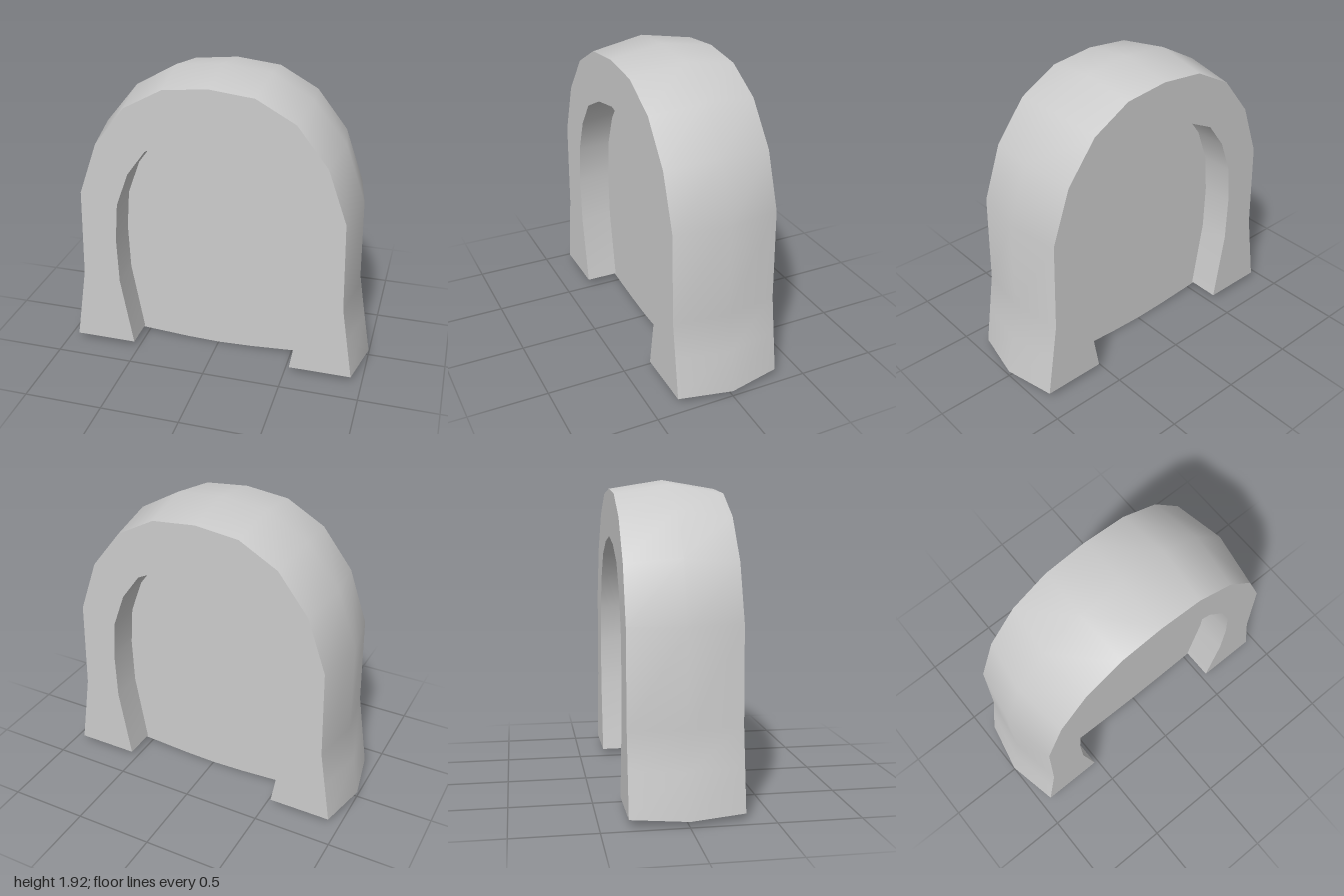
import * as THREE from 'three';

const HALF_DEPTH = 0.335;
const PANEL_HALF = 0.125;

// Half profiles from the foot (+x) up to the crown
const ridge = [[1, 0.035], [0.955, 0.3], [0.91, 0.53], [0.9, 1.11], [0.77, 1.48], [0.56, 1.74], [0.3, 1.89], [0, 1.92]];
const rim = [[0.93, 0.04], [0.89, 0.3], [0.855, 0.53], [0.84, 1.11], [0.72, 1.45], [0.525, 1.7], [0.28, 1.835], [0, 1.865]];
const opening = [[0.53, 0.04], [0.61, 0.5], [0.62, 0.8], [0.6, 1.05], [0.52, 1.27], [0.4, 1.435], [0.21, 1.53], [0, 1.57]];
const panelTop = [[0.65, 0.035], [0.7, 0.5], [0.71, 0.8], [0.69, 1.08], [0.6, 1.34], [0.45, 1.52], [0.24, 1.63], [0, 1.67]];
const panelBase = [[-0.42, 0.02], [-0.22, 0.007], [0, 0], [0.22, 0.007], [0.42, 0.02]];

// Complete an arch by mirroring its half profile
const mirror = (half) => [...half, ...half.slice(0, -1).reverse().map(([x, y]) => [-x, y])];
const row = (half, z) => mirror(half).map(([x, y]) => [x, y, z]);

// Smooth surface stretched between consecutive rows of points
function loft(name, rows, material) {
  const n = rows[0].length;
  const index = [];
  for (let r = 0; r < rows.length - 1; r++) {
    for (let i = 0; i < n - 1; i++) {
      const a = r * n + i, b = a + n;
      index.push(a, a + 1, b, a + 1, b + 1, b);
    }
  }
  const geometry = new THREE.BufferGeometry();
  geometry.setAttribute('position', new THREE.Float32BufferAttribute(rows.flat(2), 3));
  geometry.setIndex(index);
  geometry.computeVertexNormals();
  const mesh = new THREE.Mesh(geometry, material);
  mesh.name = name;
  return mesh;
}

export function createModel() {
  const group = new THREE.Group();
  group.name = 'archedPanel';
  const material = new THREE.MeshStandardMaterial({ color: 0xcccccc, side: THREE.DoubleSide });

  // Hollow arch, open under both feet
  const arch = new THREE.Group();
  arch.name = 'arch';
  const front = row(rim, HALF_DEPTH), back = row(rim, -HALF_DEPTH);
  const innerFront = row(opening, HALF_DEPTH), innerBack = row(opening, -HALF_DEPTH);
  arch.add(
    loft('outerWall', [back, row(ridge, 0), front], material),
    loft('frontFace', [front, innerFront], material),
    loft('innerWall', [innerFront, innerBack], material),
    loft('backFace', [innerBack, back], material)
  );
  group.add(arch);

  // Panel filling the opening, its edges tucked inside the arch
  const outline = [...mirror(panelTop), ...panelBase].map(([x, y]) => new THREE.Vector2(x, y));
  const geometry = new THREE.ExtrudeGeometry(new THREE.Shape(outline), { depth: PANEL_HALF * 2, bevelEnabled: false });
  geometry.translate(0, 0, -PANEL_HALF);
  const panel = new THREE.Mesh(geometry, material);
  panel.name = 'centrePanel';
  group.add(panel);

  return group;
}
